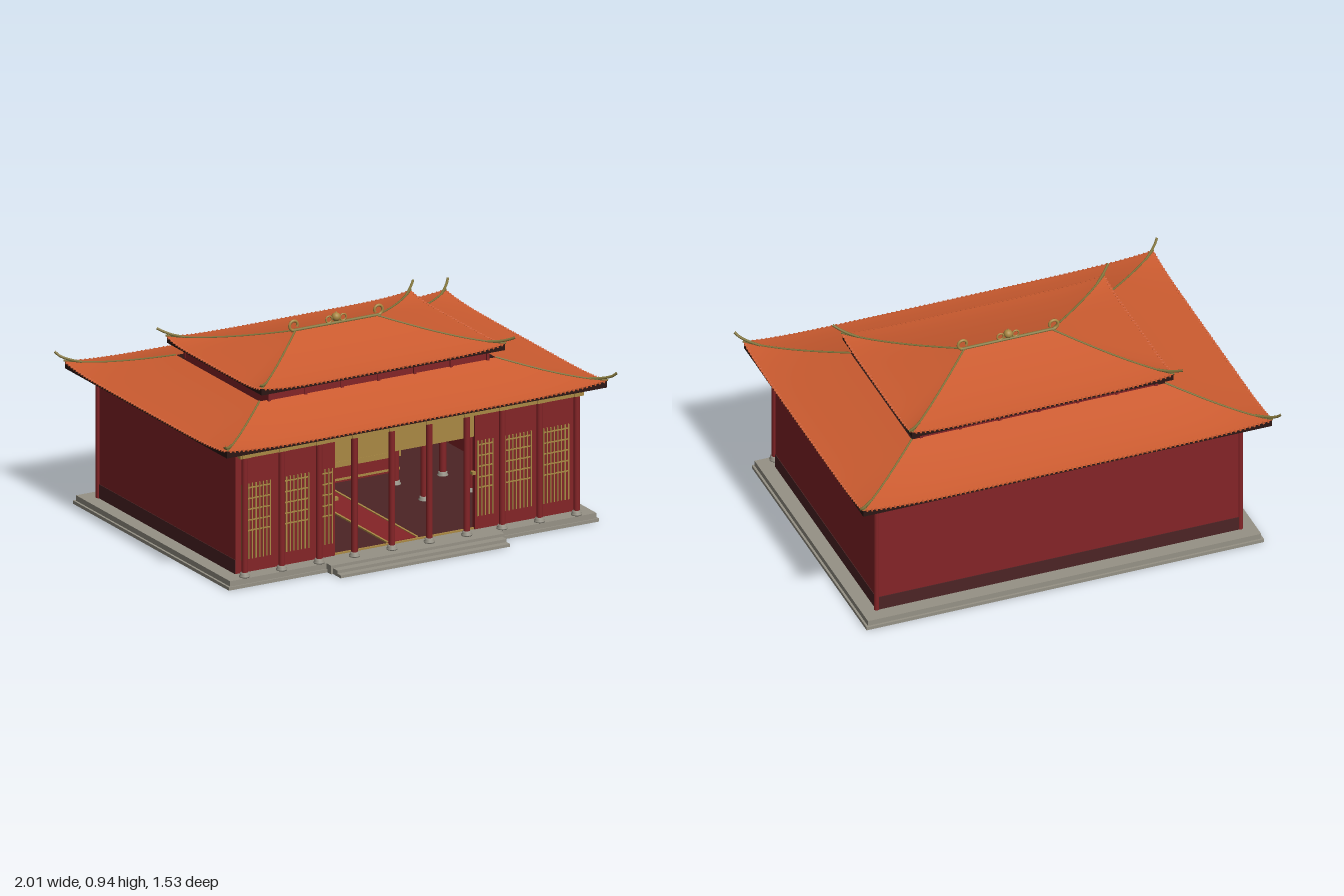
import * as THREE from 'three';
import { mergeGeometries } from 'three/addons/utils/BufferGeometryUtils.js';

const mat = (name, color, side = THREE.FrontSide) => {
  const m = new THREE.MeshStandardMaterial({ color, side });
  m.name = name;
  return m;
};

export function createModel() {
  const M = {
    stone: mat('stone', 0x969286), red: mat('wall red', 0x842427),
    plinth: mat('dark maroon', 0x4c2425), roof: mat('roof orange', 0xcd5c30, THREE.DoubleSide),
    gold: mat('gold', 0xa98843), teal: mat('teal', 0x1f4a48),
    soffit: mat('soffit brown', 0x2c1614, THREE.DoubleSide), statue: mat('statue grey', 0x8c8c8a),
    blue: mat('robe blue', 0x1f4c60), ridge: mat('ridge olive', 0x82753c),
  };
  const model = new THREE.Group();
  model.name = 'temple';
  const add = (parent, name, geo, m, x = 0, y = 0, z = 0) => {
    const mesh = new THREE.Mesh(geo, m);
    mesh.name = name;
    mesh.position.set(x, y, z);
    parent.add(mesh);
    return mesh;
  };
  // box from its limits
  const box = (name, m, x0, x1, y0, y1, z0, z1, parent = model) =>
    add(parent, name, new THREE.BoxGeometry(x1 - x0, y1 - y0, z1 - z0), m, (x0 + x1) / 2, (y0 + y1) / 2, (z0 + z1) / 2);
  const group = (name, parent = model) => {
    const g = new THREE.Group();
    g.name = name;
    parent.add(g);
    return g;
  };
  const ZC = -0.02;

  // platform and front steps
  box('platformBase', M.stone, -0.94, 0.94, 0, 0.015, -0.705, 0.665);
  box('platformTop', M.stone, -0.93, 0.93, 0.015, 0.04, -0.695, 0.658);
  [[0.43, 0.013, 0.765], [0.43, 0.027, 0.735], [0.44, 0.04, 0.698]].forEach(([w, h, z]) =>
    box('step', M.stone, -w, w, 0, h, 0.6, z));

  // walls, plinth and interior floor
  box('backWall', M.red, -0.86, 0.86, 0.04, 0.61, -0.625, -0.605);
  box('floor', M.plinth, -0.85, 0.85, 0.04, 0.043, -0.61, 0.565);
  box('backPlinth', M.plinth, -0.862, 0.862, 0.04, 0.105, -0.628, -0.615);
  for (const s of [-1, 1]) {
    const a = (p, q) => [Math.min(s * p, s * q), Math.max(s * p, s * q)];
    box('sideWall', M.red, ...a(0.84, 0.86), 0.04, 0.61, -0.625, 0.585);
    box('sidePlinth', M.plinth, ...a(0.855, 0.863), 0.04, 0.105, -0.628, 0.583);
    box('frontWall', M.red, ...a(0.355, 0.86), 0.04, 0.61, 0.565, 0.585);
    box('sideBeam', M.gold, ...a(0.845, 0.872), 0.598, 0.614, -0.63, 0.64);
    for (const z of [-0.37, -0.12, 0.13, 0.38]) box('beamEnd', M.gold, ...a(0.86, 0.88), 0.593, 0.612, z - 0.01, z + 0.01);
    box('doorHandle', M.gold, ...a(0.34, 0.358), 0.295, 0.31, 0.57, 0.59);
  }
  box('openingPanel', M.gold, -0.355, 0.355, 0.47, 0.585, 0.572, 0.58);
  box('lintel', M.red, -0.355, 0.355, 0.58, 0.61, 0.565, 0.585);
  box('threshold', M.gold, -0.355, 0.355, 0.04, 0.047, 0.57, 0.58);
  box('backBeam', M.gold, -0.87, 0.87, 0.598, 0.614, -0.635, -0.605);
  box('frontBeam', M.gold, -0.872, 0.872, 0.593, 0.62, 0.622, 0.648);
  box('eavePlate', M.teal, -0.865, 0.865, 0.613, 0.63, -0.63, 0.645);

  // gold lattice screens on the front wall
  const lattice = group('latticeScreens');
  for (const s of [-1, 1]) for (const [x0, x1] of [[0.37, 0.445], [0.49, 0.64], [0.685, 0.83]]) {
    const n = Math.round((x1 - x0) / 0.0185);
    for (let i = 0; i <= n; i++) {
      const x = s * (x0 + (x1 - x0) * i / n);
      box('latticeBar', M.gold, x - 0.0028, x + 0.0028, 0.1, 0.45, 0.584, 0.589, lattice);
    }
    for (const y of [0.232, 0.28, 0.33, 0.38, 0.43]) {
      box('latticeRail', M.gold, Math.min(s * x0, s * x1), Math.max(s * x0, s * x1), y - 0.003, y + 0.003, 0.584, 0.588, lattice);
    }
  }

  // columns with turned stone bases
  const baseGeo = new THREE.LatheGeometry([[0, 0], [0.024, 0], [0.025, 0.006], [0.019, 0.012], [0.021, 0.018], [0.015, 0.022], [0, 0.022]]
    .map(p => new THREE.Vector2(...p)), 16);
  const column = (x, z, r, top) => {
    const g = group('column');
    g.position.set(x, 0.04, z);
    add(g, 'shaft', new THREE.CylinderGeometry(r, r, top - 0.04, 16), M.red, 0, (top - 0.04) / 2, 0);
    add(g, 'columnBase', baseGeo, M.stone);
    return g;
  };
  for (const s of [-1, 1]) {
    for (const x of [0.095, 0.285, 0.465, 0.655, 0.843]) {
      const c = column(s * x, 0.635, 0.0145, 0.6);
      add(c, 'capital', new THREE.BoxGeometry(0.042, 0.022, 0.036), M.gold, 0, 0.565, 0);
    }
    for (const x of [0.36, 0.6]) for (const z of [0.13, -0.12]) column(s * x, z, 0.016, 0.61);
    add(model, 'cornerPost', new THREE.CylinderGeometry(0.012, 0.012, 0.56, 12), M.red, s * 0.86, 0.32, -0.62);
  }

  // runner, altar
  box('runner', M.red, -0.075, 0.075, 0.042, 0.047, -0.2, 0.56);
  for (const s of [-1, 1]) box('runnerEdge', M.gold, s * 0.075 - 0.005, s * 0.075 + 0.005, 0.042, 0.05, -0.2, 0.56);
  box('altar', M.red, -0.46, 0.46, 0.04, 0.115, -0.56, -0.26);
  box('altarTop', M.gold, -0.465, 0.465, 0.115, 0.14, -0.565, -0.255);
  box('altarTrim', M.gold, -0.463, 0.463, 0.052, 0.062, -0.5, -0.257);

  // seated statues on lotus seats
  const ball = (p, name, m, x, y, z, sx, sy, sz) =>
    add(p, name, new THREE.SphereGeometry(1, 16, 12), m, x, y, z).scale.set(sx, sy, sz);
  const statue = (x, robe) => {
    const g = group('seatedStatue');
    g.position.set(x, 0.14, -0.39);
    add(g, 'lotusCore', new THREE.CylinderGeometry(0.07, 0.055, 0.06, 20), M.statue, 0, 0.03, 0);
    for (let i = 0; i < 12; i++) {
      const t = i * Math.PI / 6;
      ball(g, 'petal', M.statue, Math.sin(t) * 0.064, 0.037, Math.cos(t) * 0.064, 0.02, 0.035, 0.02);
    }
    ball(g, 'legs', robe, 0, 0.09, 0.01, 0.092, 0.032, 0.065);
    add(g, 'torso', new THREE.LatheGeometry([[0.068, 0.08], [0.058, 0.13], [0.062, 0.18], [0.052, 0.215], [0.02, 0.24], [0, 0.245]]
      .map(p => new THREE.Vector2(...p)), 20), robe);
    for (const s of [-1, 1]) {
      ball(g, 'upperArm', robe, s * 0.062, 0.17, 0.01, 0.022, 0.055, 0.025);
      ball(g, 'sleeve', robe, s * 0.048, 0.125, 0.045, 0.034, 0.02, 0.03);
    }
    ball(g, 'hands', M.statue, 0, 0.125, 0.068, 0.025, 0.012, 0.015);
    ball(g, 'chest', M.statue, 0, 0.2, 0.035, 0.022, 0.035, 0.02);
    ball(g, 'head', M.statue, 0, 0.272, 0.01, 0.026, 0.035, 0.027);
    ball(g, 'hairKnot', M.statue, 0, 0.308, 0.005, 0.014, 0.014, 0.014);
    add(g, 'halo', new THREE.TorusGeometry(0.058, 0.009, 8, 32), M.gold, 0, 0.27, -0.03);
    for (let i = 0; i < 18; i++) {
      const t = i * Math.PI / 9;
      add(g, 'haloRay', new THREE.ConeGeometry(0.007, 0.022, 6), M.gold, Math.sin(t) * 0.073, 0.27 + Math.cos(t) * 0.073, -0.03).rotation.z = -t;
    }
  };
  statue(0, M.red);
  statue(-0.285, M.blue);
  statue(0.285, M.blue);

  // four-sided swept surface; size(v) gives half width and depth, height(u, v) gives y
  const skirt = (size, height, nu = 40, nv = 12) => mergeGeometries([0, 1, 2, 3].map(k => {
    const pos = [], idx = [];
    for (let j = 0; j <= nv; j++) for (let i = 0; i <= nu; i++) {
      const u = i / nu * 2 - 1, v = j / nv, [hx, hz] = size(v);
      const [x, z] = [[u * hx, hz], [hx, -u * hz], [-u * hx, -hz], [-hx, u * hz]][k];
      pos.push(x, height(u, v), z);
      if (i < nu && j < nv) {
        const a = j * (nu + 1) + i, b = a + nu + 1;
        idx.push(a, a + 1, b + 1, a, b + 1, b);
      }
    }
    const g = new THREE.BufferGeometry();
    g.setAttribute('position', new THREE.Float32BufferAttribute(pos, 3));
    g.setIndex(idx);
    g.computeVertexNormals();
    return g;
  }));

  // hipped roof with raised corners, soffit, eave tiles and hip ridges
  const hipRoof = (name, [ox, oz], [ix, iz], y0, y1, lift, tip, power) => {
    const g = group(name);
    g.position.z = ZC;
    const size = v => [ox + (ix - ox) * v, oz + (iz - oz) * v];
    const height = (u, v) => y0 + (y1 - y0) * Math.pow(v, power) + lift * Math.abs(u) ** 6 * (1 - v) ** 3;
    add(g, 'roofSurface', skirt(size, height), M.roof);
    add(g, 'fascia', skirt(() => [ox - 0.004, oz - 0.004], (u, v) => y0 - 0.01 + (height(u, 0) - y0 + 0.008) * v, 40, 1), M.soffit);
    box('soffit', M.soffit, -ox + 0.004, ox - 0.004, y0 - 0.012, y0 - 0.005, -oz + 0.004, oz - 0.004, g);
    const tiles = [];
    for (const [len, off, turn] of [[ox, oz, 0], [oz, ox, Math.PI / 2]]) {
      const n = Math.round(len / 0.011);
      for (let i = 1; i < n; i++) for (const s of [-1, 1]) {
        const u = i / n * 2 - 1;
        const t = new THREE.CylinderGeometry(0.005, 0.005, 0.012, 6);
        t.rotateX(Math.PI / 2).translate(u * len, height(u, 0) - 0.002, s * (off - 0.004)).rotateY(turn);
        tiles.push(t);
      }
    }
    add(g, 'eaveTiles', mergeGeometries(tiles), M.roof);
    for (const sx of [-1, 1]) for (const sz of [-1, 1]) {
      const pts = [];
      for (let j = 10; j >= 0; j--) {
        const [x, z] = size(j / 10);
        pts.push(new THREE.Vector3(sx * x, height(1, j / 10) + 0.001, sz * z));
      }
      add(g, 'hipRidge', new THREE.TubeGeometry(new THREE.CatmullRomCurve3(pts), 40, 0.0045, 8), M.ridge);
      const c = pts[10], at = (d, h) => new THREE.Vector3(c.x + sx * d, c.y + h, c.z + sz * d);
      const horn = new THREE.CatmullRomCurve3([at(-0.06, 0), at(-0.02, 0.007), at(0.012, 0.02), at(0.029, tip)]);
      add(g, 'cornerHorn', new THREE.TubeGeometry(horn, 16, 0.006, 8), M.ridge);
    }
  };
  hipRoof('lowerRoof', [0.97, 0.715], [0.6, 0.365], 0.638, 0.727, 0.022, 0.038, 1.25);
  box('upperWall', M.red, -0.56, 0.56, 0.7, 0.78, -0.382, 0.35);
  for (const x of [-0.555, -0.37, -0.185, 0, 0.185, 0.37, 0.555]) for (const z of [-0.382, 0.35]) {
    box('upperPost', M.red, x - 0.007, x + 0.007, 0.71, 0.775, z - 0.007, z + 0.007);
  }
  hipRoof('upperRoof', [0.622, 0.42], [0.21, 0.004], 0.784, 0.88, 0.02, 0.03, 1.3);

  // main ridge, end scrolls and central finial
  const ridge = group('mainRidge');
  ridge.position.set(0, 0.883, ZC);
  add(ridge, 'ridgeBar', new THREE.CylinderGeometry(0.007, 0.007, 0.45, 10), M.ridge).rotation.z = Math.PI / 2;
  for (const s of [-1, 1]) {
    const pts = [];
    for (let i = 0; i <= 16; i++) {
      const t = -Math.PI / 2 - i / 16 * 5.2, r = 0.024 - i * 0.0004;
      pts.push(new THREE.Vector3(s * (0.214 - Math.cos(t) * r), 0.024 + Math.sin(t) * r, 0));
    }
    add(ridge, 'endScroll', new THREE.TubeGeometry(new THREE.CatmullRomCurve3(pts), 40, 0.0065, 8), M.gold);
    add(ridge, 'finialRing', new THREE.TorusGeometry(0.015, 0.004, 8, 20), M.gold, s * 0.036, 0.02, 0);
  }
  add(ridge, 'finialBall', new THREE.SphereGeometry(0.02, 20, 14), M.gold, 0, 0.027, 0);
  add(ridge, 'finialTip', new THREE.ConeGeometry(0.006, 0.014, 10), M.gold, 0, 0.049, 0);
  return model;
}
